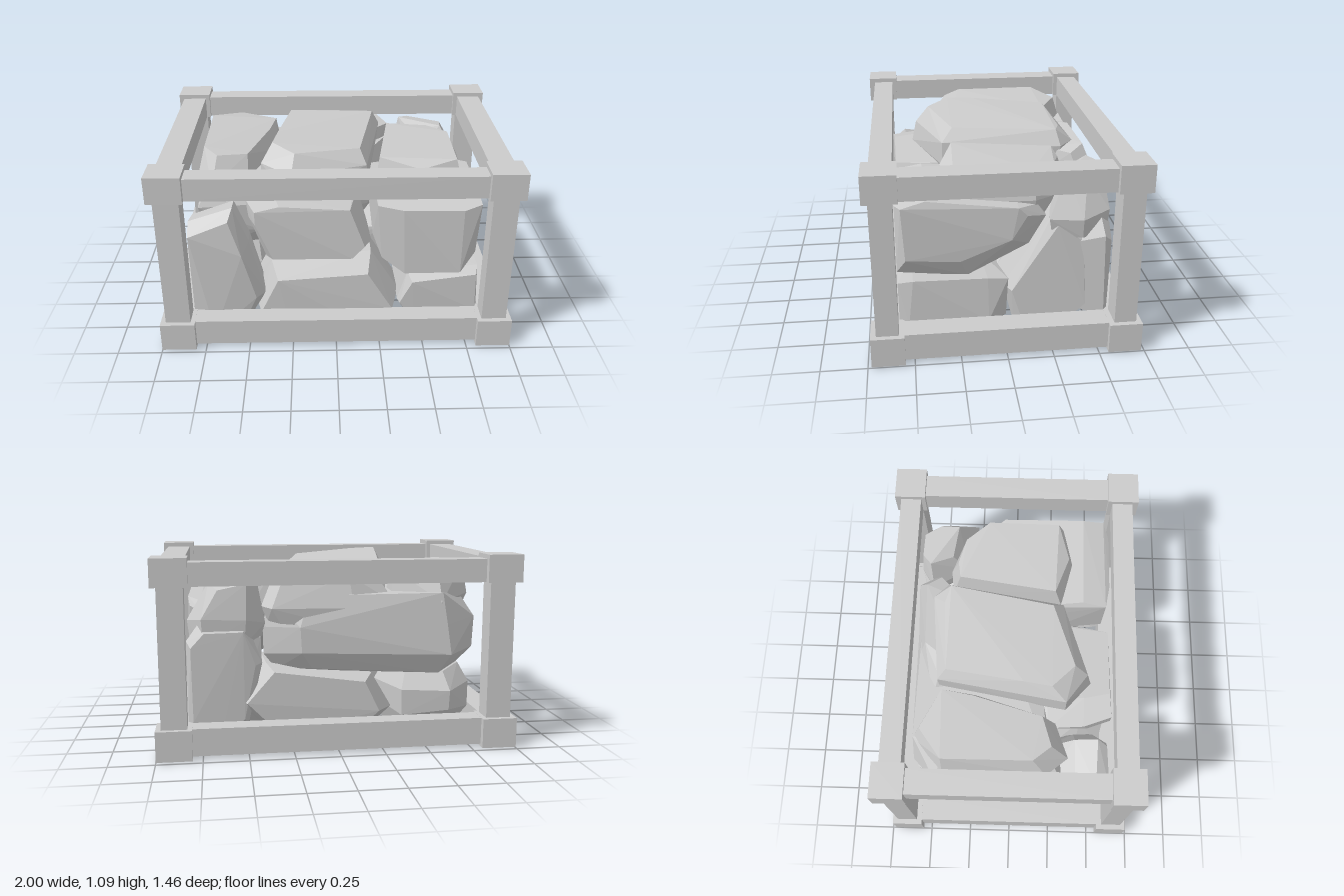
import * as THREE from 'three';
import { ConvexGeometry } from 'three/addons/geometries/ConvexGeometry.js';

const grey = new THREE.MeshStandardMaterial({ color: 0xcccccc, flatShading: true });

// small seeded random generator, -1..1
let seed = 7;
const rnd = () => {
  seed = (seed * 16807) % 2147483647;
  return (seed / 2147483647) * 2 - 1;
};

// box given by its min and max corners
function box(parent, name, [x0, y0, z0], [x1, y1, z1]) {
  const mesh = new THREE.Mesh(new THREE.BoxGeometry(x1 - x0, y1 - y0, z1 - z0), grey);
  mesh.position.set((x0 + x1) / 2, (y0 + y1) / 2, (z0 + z1) / 2);
  mesh.name = name;
  parent.add(mesh);
}

// maps an outline point (u, v) and a height w along the axis to x, y, z
const place = {
  x: (u, v, w) => [w, v, u],
  y: (u, v, w) => [u, w, v],
  z: (u, v, w) => [u, v, w],
};

// faceted stone: hull of one outline repeated in layers [height, scale, du, dv] along an axis
function stone(parent, name, axis, outline, layers) {
  const cu = outline.reduce((s, p) => s + p[0], 0) / outline.length;
  const cv = outline.reduce((s, p) => s + p[1], 0) / outline.length;
  const points = [];
  for (const [h, scale, du = 0, dv = 0] of layers) {
    for (const [u, v] of outline) {
      const k = scale * (1 + rnd() * 0.05);
      const [x, y, z] = place[axis](cu + (u - cu) * k + du, cv + (v - cv) * k + dv, h + rnd() * 0.025);
      // stones stay inside the cage
      points.push(new THREE.Vector3(
        THREE.MathUtils.clamp(x, -0.83, 0.83),
        THREE.MathUtils.clamp(y, 0.005, 1.08),
        THREE.MathUtils.clamp(z, -0.58, 0.58)));
    }
  }
  const mesh = new THREE.Mesh(new ConvexGeometry(points), grey);
  mesh.name = name;
  parent.add(mesh);
}

export function createModel() {
  const model = new THREE.Group();
  model.name = 'stoneCage';

  // cage: corner blocks, posts and beams
  const cage = new THREE.Group();
  cage.name = 'cage';
  model.add(cage);
  const span = (s, a, b) => (s > 0 ? [a, b] : [-b, -a]);
  for (const sx of [-1, 1]) {
    for (const sz of [-1, 1]) {
      const [bx0, bx1] = span(sx, 0.805, 1), [bz0, bz1] = span(sz, 0.55, 0.73);
      const [px0, px1] = span(sx, 0.83, 0.97), [pz0, pz1] = span(sz, 0.58, 0.7);
      box(cage, 'lowerCorner', [bx0, 0.01, bz0], [bx1, 0.178, bz1]);
      box(cage, 'upperCorner', [bx0, 0.945, bz0], [bx1, 1.097, bz1]);
      box(cage, 'post', [px0, 0.17, pz0], [px1, 0.95, pz1]);
    }
  }
  for (const [level, y0, y1] of [['lower', 0.025, 0.177], ['upper', 0.945, 1.072]]) {
    for (const s of [-1, 1]) {
      const [z0, z1] = span(s, 0.575, 0.695), [x0, x1] = span(s, 0.83, 0.97);
      box(cage, level + 'LongBeam', [-0.83, y0, z0], [0.83, y1, z1]);
      box(cage, level + 'SideBeam', [x0, y0, -0.56], [x1, y1, 0.56]);
    }
  }

  const stones = new THREE.Group();
  stones.name = 'stones';
  model.add(stones);

  // top layer, outlines in x, z
  stone(stones, 'topRightStone', 'y',
    [[-0.8, -0.38], [-0.6, -0.55], [-0.34, -0.4], [-0.36, -0.2], [-0.5, 0.27], [-0.7, 0.31], [-0.8, 0.2]],
    [[0.72, 0.88], [0.84, 1], [1, 0.84, 0.01, -0.03]]);
  stone(stones, 'topMiddleStone', 'y',
    [[-0.3, -0.42], [0.2, -0.45], [0.29, -0.38], [0.18, 0.29], [-0.25, 0.44], [-0.41, 0.3], [-0.36, 0.1]],
    [[0.76, 0.9], [0.84, 1], [0.97, 1], [1.06, 0.86, 0, -0.02]]);
  stone(stones, 'topLeftStone', 'y',
    [[0.33, -0.36], [0.45, -0.39], [0.62, -0.34], [0.76, -0.18], [0.74, 0.3], [0.5, 0.38], [0.22, 0.3]],
    [[0.72, 0.9], [0.8, 1], [0.97, 0.87, -0.01, 0]]);
  stone(stones, 'backTopStone', 'y',
    [[-0.35, -0.46], [-0.1, -0.56], [0.35, -0.58], [0.42, -0.48], [0.25, -0.3], [-0.3, -0.3]],
    [[0.7, 0.85], [0.8, 1], [0.95, 0.8, 0, 0.04]]);
  stone(stones, 'backLeftTopStone', 'y',
    [[0.4, -0.5], [0.5, -0.58], [0.75, -0.58], [0.83, -0.42], [0.81, -0.24], [0.5, -0.28]],
    [[0.62, 0.9], [0.74, 1], [0.93, 0.6, -0.05, -0.03]]);

  // front stones, outlines in x, y
  stone(stones, 'frontMiddleStone', 'z',
    [[-0.52, 0.82], [-0.5, 0.72], [-0.4, 0.46], [0.12, 0.47], [0.21, 0.55], [0.12, 0.82], [-0.35, 0.85]],
    [[-0.05, 0.75], [0.2, 1], [0.44, 1], [0.57, 0.84, 0.01, 0.02]]);
  stone(stones, 'frontRightStone', 'z',
    [[-0.83, 0.72], [-0.58, 0.79], [-0.5, 0.58], [-0.41, 0.25], [-0.5, 0.08], [-0.7, 0.01], [-0.83, 0.15]],
    [[0.2, 0.65], [0.36, 0.97], [0.5, 1], [0.58, 0.9, -0.02, -0.02]]);
  stone(stones, 'frontLowerStone', 'z',
    [[-0.49, 0.17], [-0.37, 0.42], [0.2, 0.46], [0.36, 0.2], [0.2, 0.04], [-0.3, 0.03]],
    [[-0.05, 0.7], [0.2, 1], [0.42, 1], [0.58, 0.87, 0.01, -0.03]]);
  stone(stones, 'frontLeftLowerStone', 'z',
    [[0.36, 0.2], [0.42, 0.37], [0.82, 0.41], [0.83, 0.15], [0.65, 0.01], [0.45, 0.06]],
    [[0, 0.85], [0.1, 1], [0.5, 1], [0.58, 0.92]]);

  // left side stones, outlines in z, y
  stone(stones, 'frontLeftUpperStone', 'x',
    [[0.58, 0.81], [0.42, 0.85], [-0.17, 0.79], [-0.23, 0.73], [-0.13, 0.57], [0.2, 0.4], [0.58, 0.42]],
    [[0.24, 0.85, 0.04, 0.05], [0.4, 1], [0.72, 1], [0.82, 0.8, 0.04, 0.05]]);
  stone(stones, 'leftSideStone', 'x',
    [[0.01, 0.34], [-0.28, 0.78], [-0.45, 0.67], [-0.47, 0.22], [-0.25, 0.01], [-0.06, 0.12]],
    [[0.4, 0.8], [0.55, 1], [0.76, 1], [0.83, 0.86, -0.01, -0.02]]);

  // back stones
  stone(stones, 'backLeftStone', 'z',
    [[0.42, 0.5], [0.5, 0.72], [0.75, 0.72], [0.83, 0.62], [0.82, 0.15], [0.65, 0.05], [0.5, 0.15]],
    [[-0.58, 0.88], [-0.53, 1], [-0.4, 0.85]]);
  stone(stones, 'backUpperStone', 'y',
    [[-0.82, -0.42], [-0.65, -0.58], [0.2, -0.58], [0.42, -0.48], [0.25, -0.1], [-0.45, 0.27], [-0.8, 0.3]],
    [[0.43, 0.84], [0.53, 0.97], [0.7, 1], [0.85, 0.88, 0.01, 0]]);
  stone(stones, 'backLowerStone', 'z',
    [[-0.32, 0.2], [-0.2, 0.4], [0.4, 0.49], [0.56, 0.28], [0.35, 0.06], [-0.15, 0.04]],
    [[-0.58, 0.85], [-0.45, 1], [-0.2, 1], [0, 0.75]]);
  stone(stones, 'backRightLowerStone', 'y',
    [[-0.83, -0.35], [-0.65, -0.57], [-0.38, -0.54], [-0.28, -0.2], [-0.45, 0.2], [-0.8, 0.25]],
    [[0.04, 0.72], [0.18, 1], [0.3, 1], [0.42, 0.82]]);

  return model;
}
